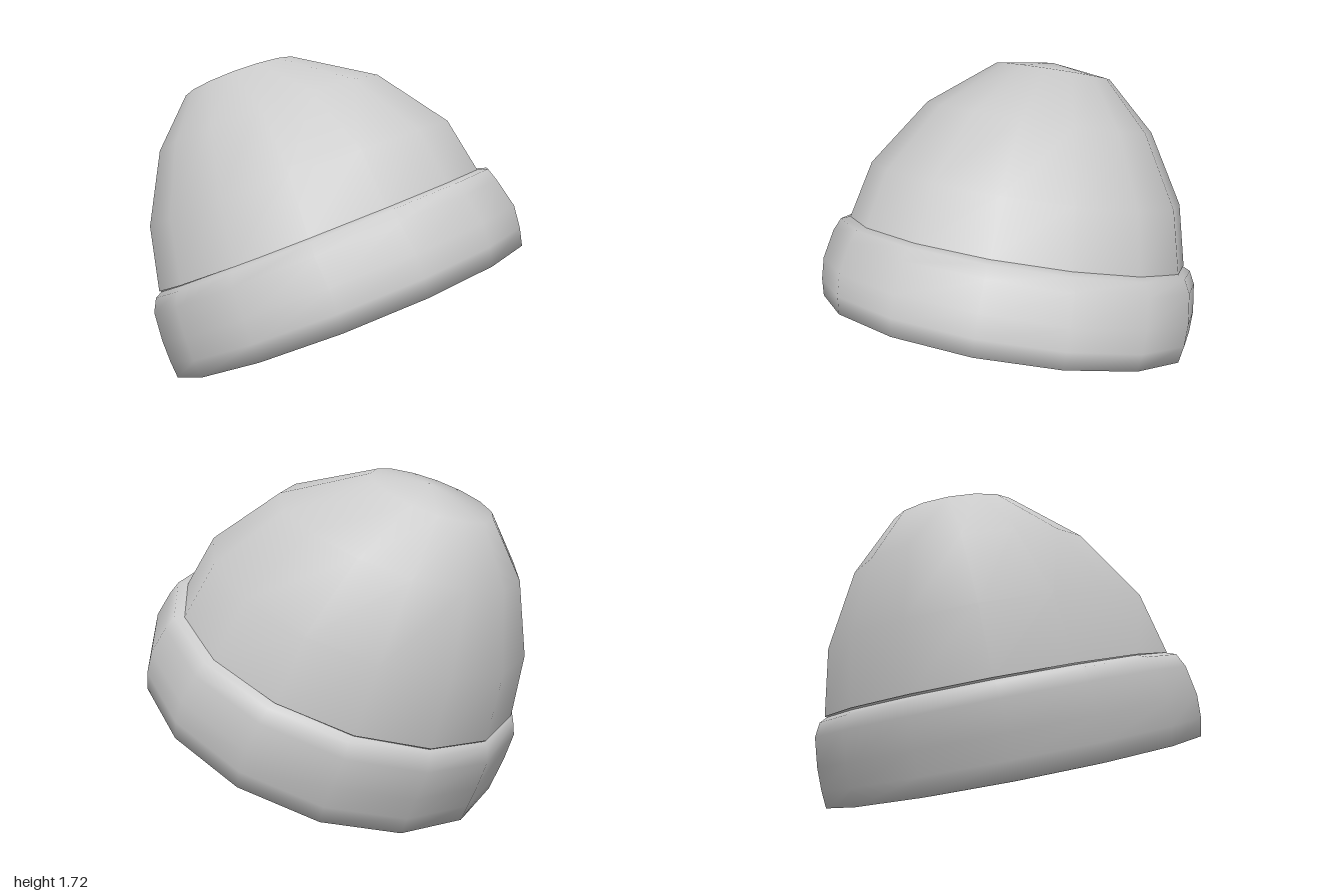
import * as THREE from 'three';

const SIDES = 15;
const TILT = THREE.MathUtils.degToRad(25);

// Smooth skin through rings of [height, centre x, radius x, radius z, lift of the -x side].
// Rings run upwards on an outward-facing wall.
function loft(name, rings, material, apex) {
  const pos = [], index = [];
  for (const [h, cx, rx, rz, lift = 0] of rings) {
    for (let j = 0; j < SIDES; j++) {
      const a = ((j + 0.5) / SIDES) * Math.PI * 2;
      pos.push(cx + rx * Math.cos(a), h - lift * Math.cos(a), rz * Math.sin(a));
    }
  }
  for (let i = 0; i < rings.length - 1; i++) {
    for (let j = 0; j < SIDES; j++) {
      const k = (j + 1) % SIDES;
      const a = i * SIDES + j, b = i * SIDES + k;
      index.push(a, a + SIDES, b, b, a + SIDES, b + SIDES);
    }
  }
  if (apex) {
    pos.push(...apex);
    const last = (rings.length - 1) * SIDES;
    for (let j = 0; j < SIDES; j++) {
      index.push(last + j, rings.length * SIDES, last + ((j + 1) % SIDES));
    }
  }
  const geo = new THREE.BufferGeometry();
  geo.setAttribute('position', new THREE.Float32BufferAttribute(pos, 3));
  geo.setIndex(index);
  geo.computeVertexNormals();
  const mesh = new THREE.Mesh(geo, material);
  mesh.name = name;
  return mesh;
}

export function createModel() {
  const wool = new THREE.MeshStandardMaterial({ color: 0xcccccc, side: THREE.DoubleSide });
  const hat = new THREE.Group();
  hat.name = 'knitCap';

  // Crown: rounded dome, leaning slightly and a little narrower across z
  const crown = loft('crown', [
    [0.775, 0.28, 0.92, 0.905, 0.01],
    [1.09, 0.29, 0.86, 0.825, 0.034],
    [1.445, 0.25, 0.645, 0.6, 0.034],
    [1.7, 0.157, 0.32, 0.31, 0.01],
  ], wool, [0.195, 1.741, 0]);

  // Folded cuff: inner wall down, rim, bulging outer wall up, shoulder back to the crown
  const cuff = loft('foldedCuff', [
    [0.785, 0.28, 0.915, 0.9],
    [0.73, 0.28, 0.885, 0.885],
    [0.328, 0.283, 0.87, 0.87],
    [0.336, 0.283, 0.987, 0.987],
    [0.425, 0.295, 0.998, 1.003],
    [0.54, 0.302, 1.005, 1.005],
    [0.69, 0.289, 0.983, 0.98],
    [0.757, 0.295, 0.957, 0.945],
    [0.775, 0.28, 0.912, 0.898],
  ], wool);

  hat.add(crown, cuff);
  hat.rotation.z = TILT;

  const model = new THREE.Group();
  model.name = 'tiltedCap';
  model.add(hat);
  return model;
}
